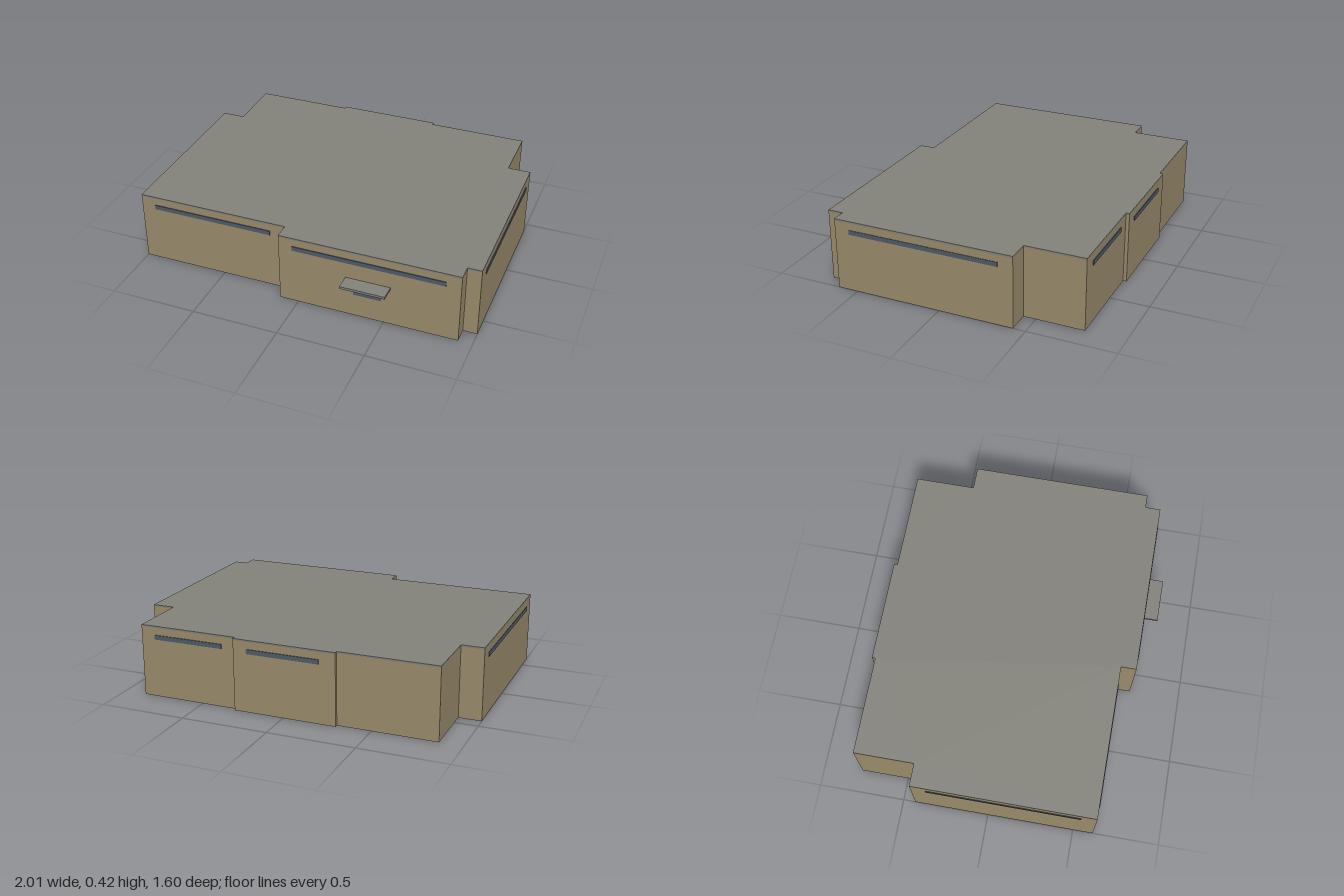
import * as THREE from 'three';

const WALL_TOP = 0.406, ROOF_TOP = 0.416;

// Building footprint as [x, z], running from the front right round to the left and back
const FOOTPRINT = [
  [-1, 0.617], [-0.11, 0.617], [-0.11, 0.706], [0.92, 0.706], [0.92, 0.617], [1, 0.617],
  [1, -0.43], [0.868, -0.43], [0.868, -0.775], [0.29, -0.775], [0.29, -0.795],
  [-0.305, -0.795], [-0.305, -0.775], [-0.87, -0.775], [-0.87, -0.43], [-1, -0.43],
];

export function createModel() {
  const wallMat = new THREE.MeshStandardMaterial({ color: 0x9a8b6c, side: THREE.DoubleSide });
  wallMat.name = 'tan wall';
  const roofMat = new THREE.MeshStandardMaterial({ color: 0x83827b });
  roofMat.name = 'grey roof';
  const glassMat = new THREE.MeshStandardMaterial({ color: 0x4f5b6a });
  glassMat.name = 'blue grey glass';

  const model = new THREE.Group();
  model.name = 'building';

  const add = (name, geometry, material, x = 0, y = 0, z = 0) => {
    const mesh = new THREE.Mesh(geometry, material);
    mesh.name = name;
    mesh.position.set(x, y, z);
    model.add(mesh);
    return mesh;
  };

  // Thin outer walls, open underneath
  FOOTPRINT.forEach(([x0, z0], i) => {
    const [x1, z1] = FOOTPRINT[(i + 1) % FOOTPRINT.length];
    const length = Math.hypot(x1 - x0, z1 - z0);
    const wall = add('wall', new THREE.PlaneGeometry(length, WALL_TOP), wallMat,
      (x0 + x1) / 2, WALL_TOP / 2, (z0 + z1) / 2);
    wall.rotation.y = -Math.atan2(z1 - z0, x1 - x0);
  });

  // Flat roof slab
  const outline = new THREE.Shape(FOOTPRINT.map(([x, z]) => new THREE.Vector2(x, -z)));
  const slab = new THREE.ExtrudeGeometry(outline, { depth: ROOF_TOP - WALL_TOP, bevelEnabled: false });
  slab.rotateX(-Math.PI / 2);
  add('roof', slab, roofMat, 0, WALL_TOP, 0);

  // High strip windows, just proud of the walls
  const T = 0.005, H = 0.026, Y = 0.352;
  const alongX = [
    ['frontWindow', -0.915, -0.2, 0.617 + T / 2],
    ['frontWindow', -0.03, 0.838, 0.706 + T / 2],
    ['backWindow', 0.37, 0.785, -0.775 - T / 2],
    ['backWindow', -0.21, 0.21, -0.795 - T / 2],
  ];
  for (const [name, a, b, z] of alongX) {
    add(name, new THREE.BoxGeometry(b - a, H, T), glassMat, (a + b) / 2, Y, z);
  }
  for (const s of [-1, 1]) {
    add('sideWindow', new THREE.BoxGeometry(T, H, 0.875), glassMat, s * (0.998 + T / 2), Y, 0.093);
  }

  // Entrance glazing and its canopy
  add('entranceGlass', new THREE.BoxGeometry(0.16, 0.088, T), glassMat, 0.405, 0.186, 0.706 + T / 2);
  add('canopy', new THREE.BoxGeometry(0.256, 0.014, 0.092), roofMat, 0.407, 0.236, 0.749);

  return model;
}
